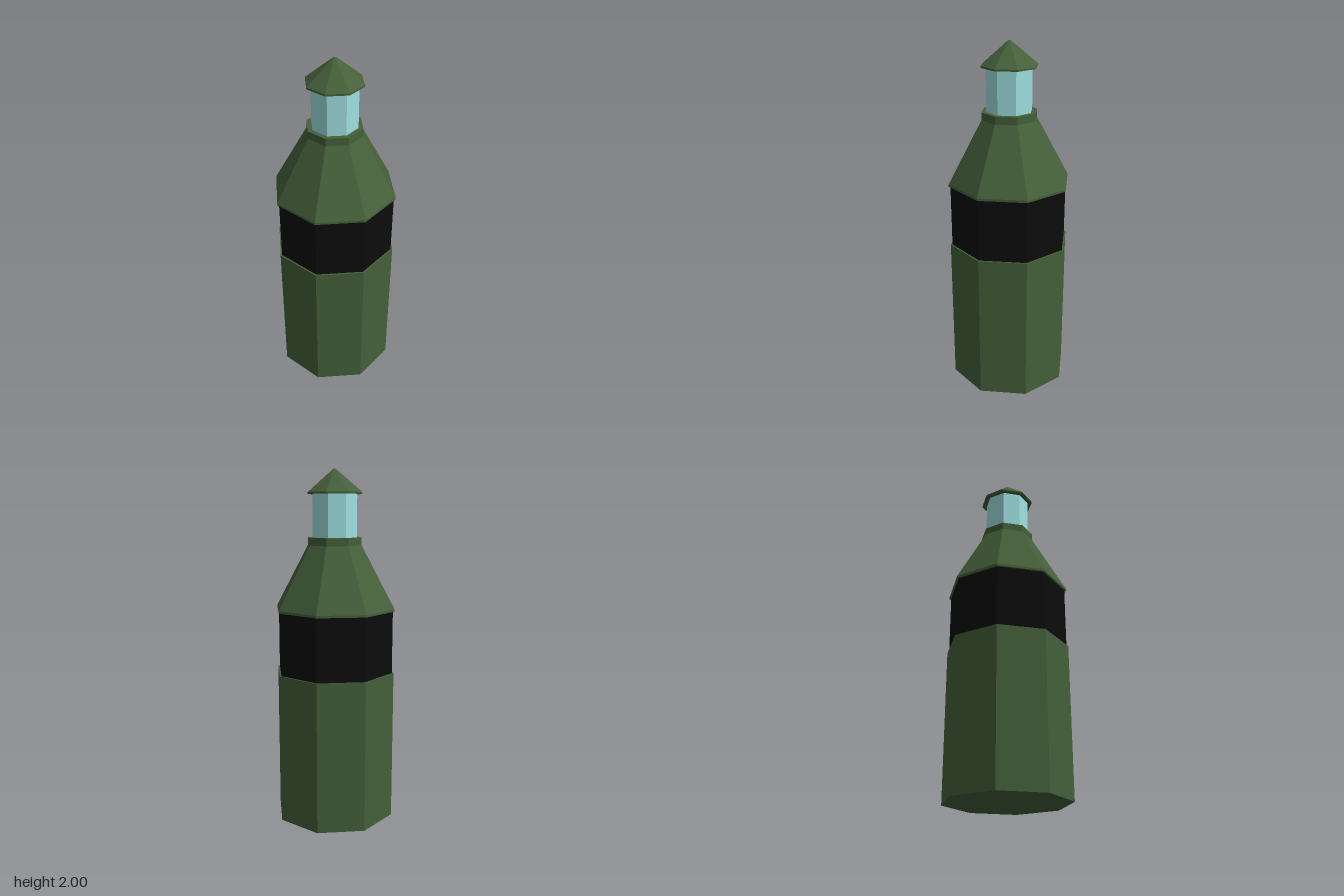
import * as THREE from 'three';

const SIDES = 8;

export function createModel() {
  const model = new THREE.Group();
  const paint = (color) => new THREE.MeshStandardMaterial({ color, flatShading: true });
  const green = paint(0x45603a);
  const black = paint(0x0c0c0c);
  const glass = paint(0x9fe0e0);

  // Stacked octagonal section from y0 to y1
  function section(name, material, y0, y1, rBottom, rTop = rBottom) {
    const mesh = new THREE.Mesh(new THREE.CylinderGeometry(rTop, rBottom, y1 - y0, SIDES), material);
    mesh.name = name;
    mesh.position.y = (y0 + y1) / 2;
    model.add(mesh);
  }

  // Body, recessed band and tapered shoulder
  section('body', green, 0, 0.865, 0.35);
  section('band', black, 0.865, 1.22, 0.34);
  section('shoulderLip', green, 1.22, 1.233, 0.35);
  section('shoulder', green, 1.233, 1.585, 0.35, 0.157);

  // Collar, clear window and pointed cap
  section('collar', green, 1.585, 1.628, 0.157);
  section('window', glass, 1.628, 1.865, 0.13);
  section('capRim', green, 1.865, 1.875, 0.158);
  section('cap', green, 1.875, 2, 0.158, 0.008);

  return model;
}
